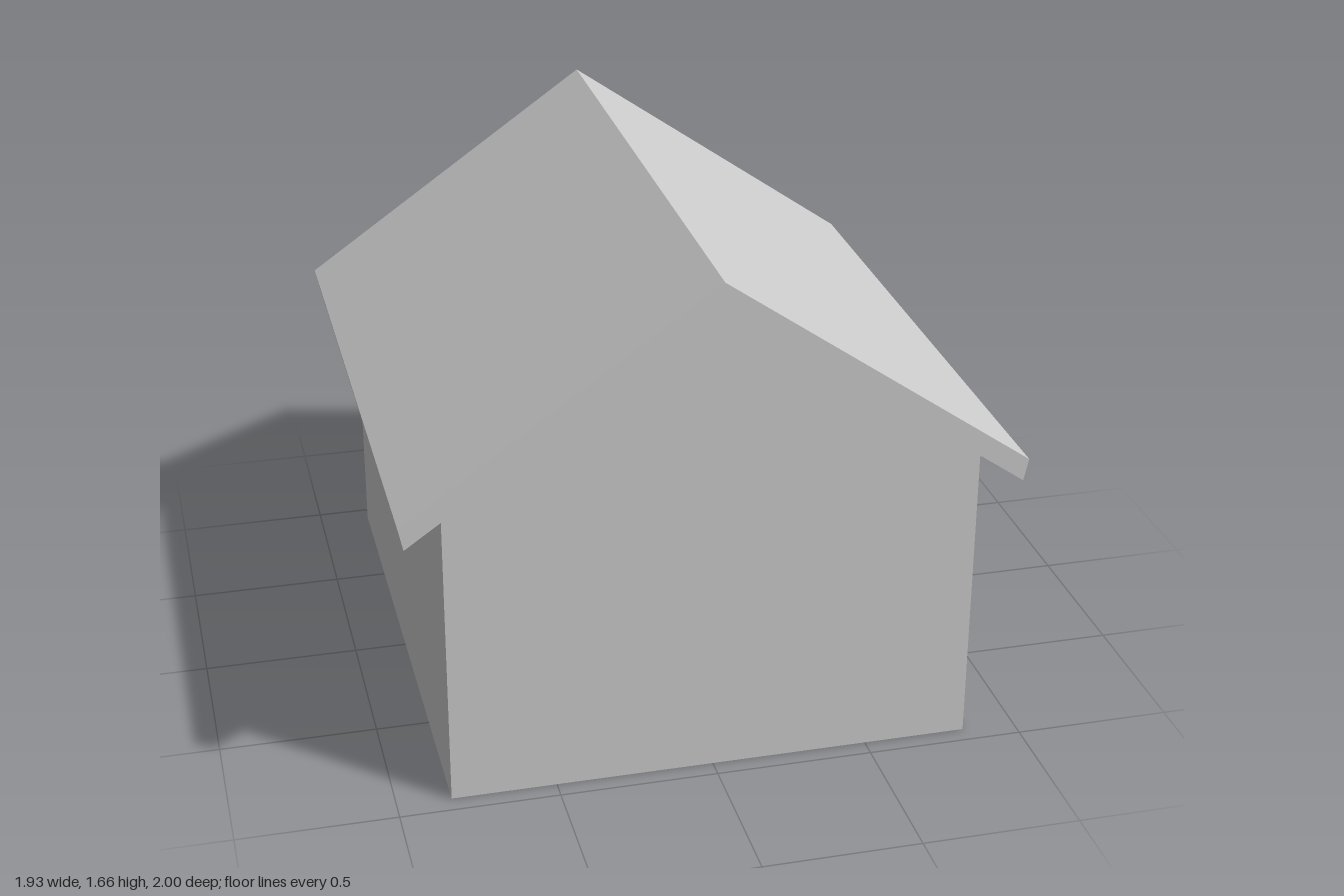
import * as THREE from 'three';

const HALF_WIDTH = 0.83, HALF_DEPTH = 0.94, EAVE = 1.0, APEX = 1.58;

const polygon = (points) => new THREE.Shape(points.map(([x, y]) => new THREE.Vector2(x, y)));

export function createModel() {
  const model = new THREE.Group();
  model.name = 'house';
  const wallMaterial = new THREE.MeshStandardMaterial({ color: 0xcccccc, flatShading: true, side: THREE.DoubleSide });
  const roofMaterial = new THREE.MeshStandardMaterial({ color: 0xcccccc, flatShading: true });

  const add = (name, geometry, material) => {
    const mesh = new THREE.Mesh(geometry, material);
    mesh.name = name;
    model.add(mesh);
    return mesh;
  };

  // Thin walls around a hollow inside, open at the bottom
  const gable = new THREE.ShapeGeometry(polygon([
    [-HALF_WIDTH, 0], [HALF_WIDTH, 0], [HALF_WIDTH, EAVE], [0, APEX], [-HALF_WIDTH, EAVE],
  ]));
  const side = new THREE.PlaneGeometry(2 * HALF_DEPTH, EAVE);
  for (const s of [1, -1]) {
    const end = add(s > 0 ? 'frontGableWall' : 'backGableWall', gable, wallMaterial);
    end.position.z = s * HALF_DEPTH;
    end.rotation.y = s > 0 ? 0 : Math.PI;

    const wall = add(s > 0 ? 'leftWall' : 'rightWall', side, wallMaterial);
    wall.position.set(s * HALF_WIDTH, EAVE / 2, 0);
    wall.rotation.y = s * Math.PI / 2;
  }

  // Overhanging roof slab, bent at the ridge
  const roof = new THREE.ExtrudeGeometry(polygon([
    [0, 1.66], [-0.965, 0.985], [-0.95, 0.915], [0, APEX], [0.95, 0.915], [0.965, 0.985],
  ]), { depth: 2, bevelEnabled: false });
  roof.translate(0, 0, -1);
  add('roof', roof, roofMaterial);

  return model;
}
